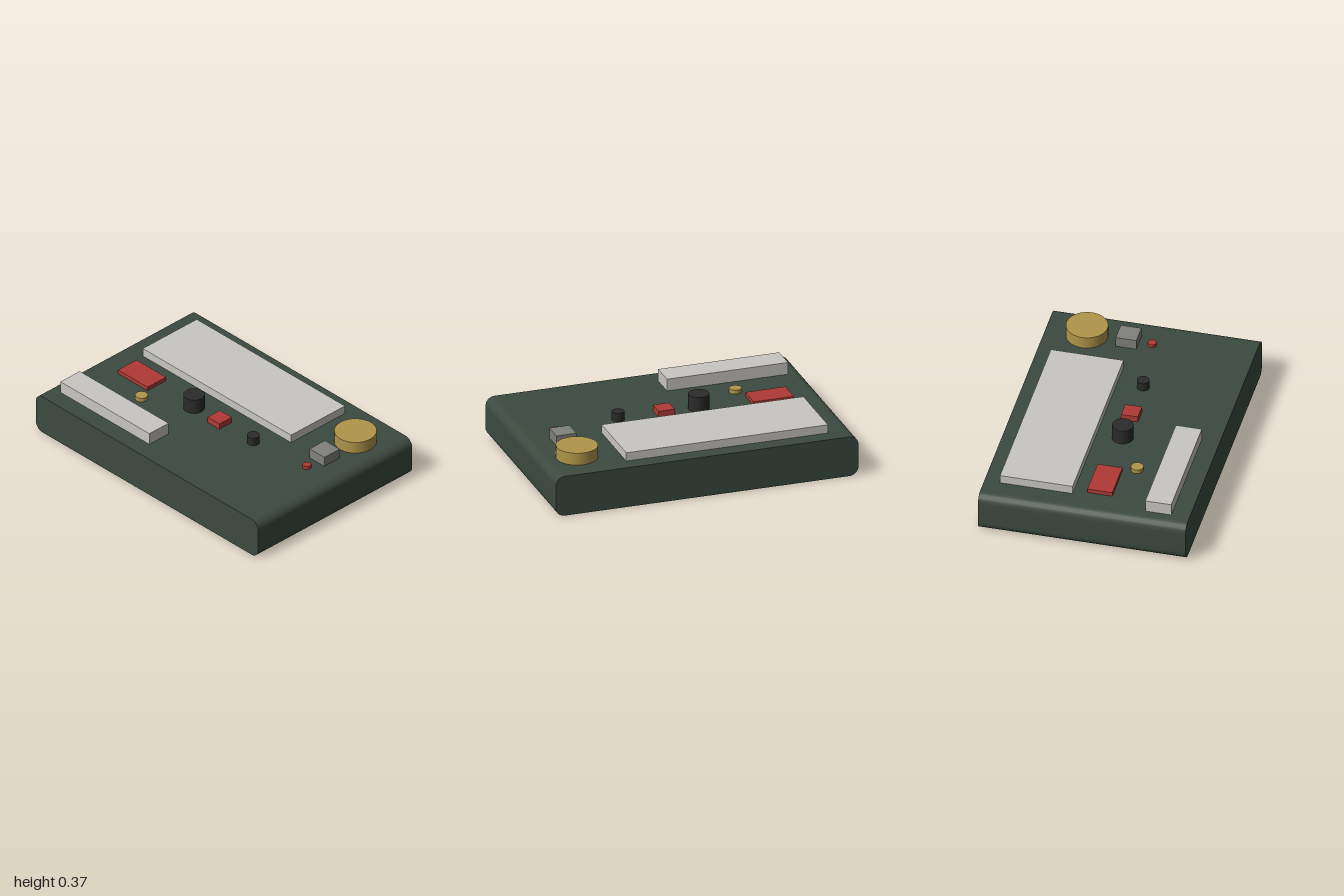
import * as THREE from 'three';
import { toCreasedNormals } from 'three/addons/utils/BufferGeometryUtils.js';

const paint = (name, color) => {
  const m = new THREE.MeshStandardMaterial({ color });
  m.name = name;
  return m;
};

const H = 0.267; // height of the case top

export function createModel() {
  const green = paint('dark green', 0x3b4a40);
  const white = paint('off white', 0xc8c7c2);
  const brass = paint('brass', 0xb0964a);
  const red = paint('red', 0xb03a35);
  const black = paint('black', 0x2b2b2b);
  const grey = paint('grey', 0x80807c);

  const model = new THREE.Group();
  model.name = 'controlPanel';

  const add = (name, geometry, material, x = 0, y = 0, z = 0) => {
    const mesh = new THREE.Mesh(geometry, material);
    mesh.name = name;
    mesh.position.set(x, y, z);
    model.add(mesh);
  };
  // Parts standing on the case top
  const block = (name, mat, x, z, w, d, h) =>
    add(name, new THREE.BoxGeometry(w, h, d), mat, x, H + h / 2, z);
  const knob = (name, mat, x, z, r, h) =>
    add(name, new THREE.CylinderGeometry(r, r, h, 32), mat, x, H + h / 2, z);

  // Case: rounded rectangle section running front to back
  const r = 0.06;
  const s = new THREE.Shape();
  s.moveTo(-1 + r, 0);
  s.lineTo(1 - r, 0);
  s.absarc(1 - r, r, r, -Math.PI / 2, 0);
  s.absarc(1 - r, H - r, r, 0, Math.PI / 2);
  s.absarc(-1 + r, H - r, r, Math.PI / 2, Math.PI);
  s.absarc(-1 + r, r, r, Math.PI, Math.PI * 1.5);
  const body = new THREE.ExtrudeGeometry(s, { depth: 1.334, bevelEnabled: false, curveSegments: 10 });
  body.translate(0, 0, -0.667);
  add('case', toCreasedNormals(body, 0.6), green);

  // Plates and blocks
  block('rearPlate', white, -0.167, -0.333, 1.333, 0.467, 0.056);
  block('frontBar', white, -0.5, 0.467, 0.8, 0.167, 0.08);
  block('greyBlock', grey, 0.767, -0.133, 0.133, 0.133, 0.067);
  block('wideRedButton', red, -0.668, 0.067, 0.265, 0.16, 0.027);
  block('squareRedButton', red, 0.03, 0.067, 0.107, 0.107, 0.04);

  // Round knobs and buttons
  knob('largeDial', brass, 0.767, -0.4, 0.133, 0.08);
  knob('smallBrassKnob', brass, -0.5, 0.233, 0.04, 0.027);
  knob('tallBlackKnob', black, -0.2, 0.067, 0.067, 0.1);
  knob('smallBlackKnob', black, 0.333, 0.067, 0.04, 0.056);
  knob('indicatorLamp', red, 0.765, 0.018, 0.027, 0.022);

  return model;
}
